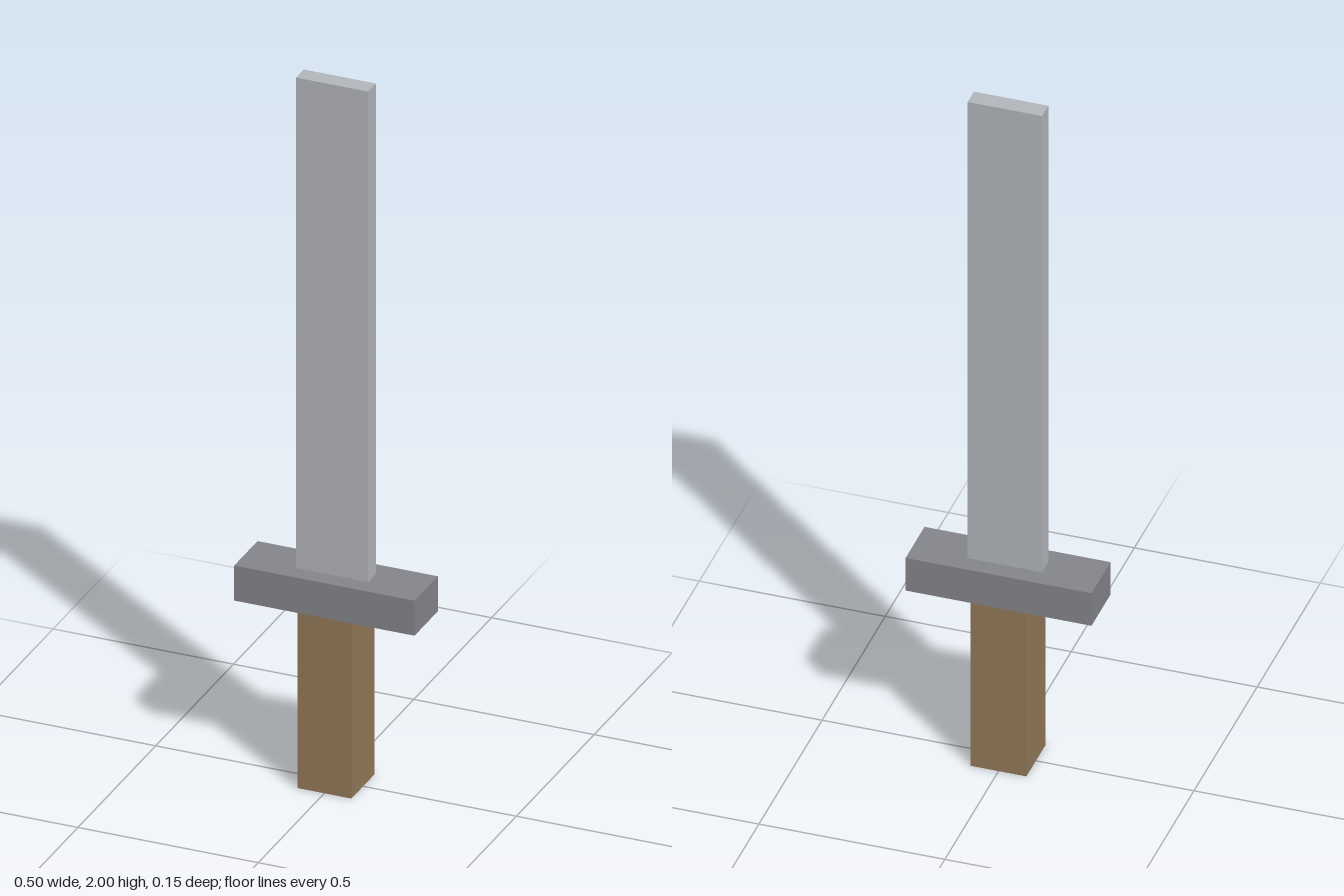
import * as THREE from 'three';

const material = (name, color) => {
  const m = new THREE.MeshStandardMaterial({ color });
  m.name = name;
  return m;
};

// Box centred on the y axis, spanning from bottom to top
function block(name, width, depth, bottom, top, mat) {
  const mesh = new THREE.Mesh(new THREE.BoxGeometry(width, top - bottom, depth), mat);
  mesh.name = name;
  mesh.position.y = (bottom + top) / 2;
  return mesh;
}

export function createModel() {
  const steel = material('light steel', 0xb2b5ba);
  const iron = material('dark iron', 0x84858b);
  const wood = material('brown wood', 0x927958);

  const sword = new THREE.Group();
  sword.name = 'sword';
  sword.add(
    block('handle', 0.15, 0.15, 0, 0.5, wood),
    block('crossGuard', 0.5, 0.15, 0.5, 0.6, iron),
    block('blade', 0.2, 0.05, 0.6, 2, steel),
  );
  return sword;
}
